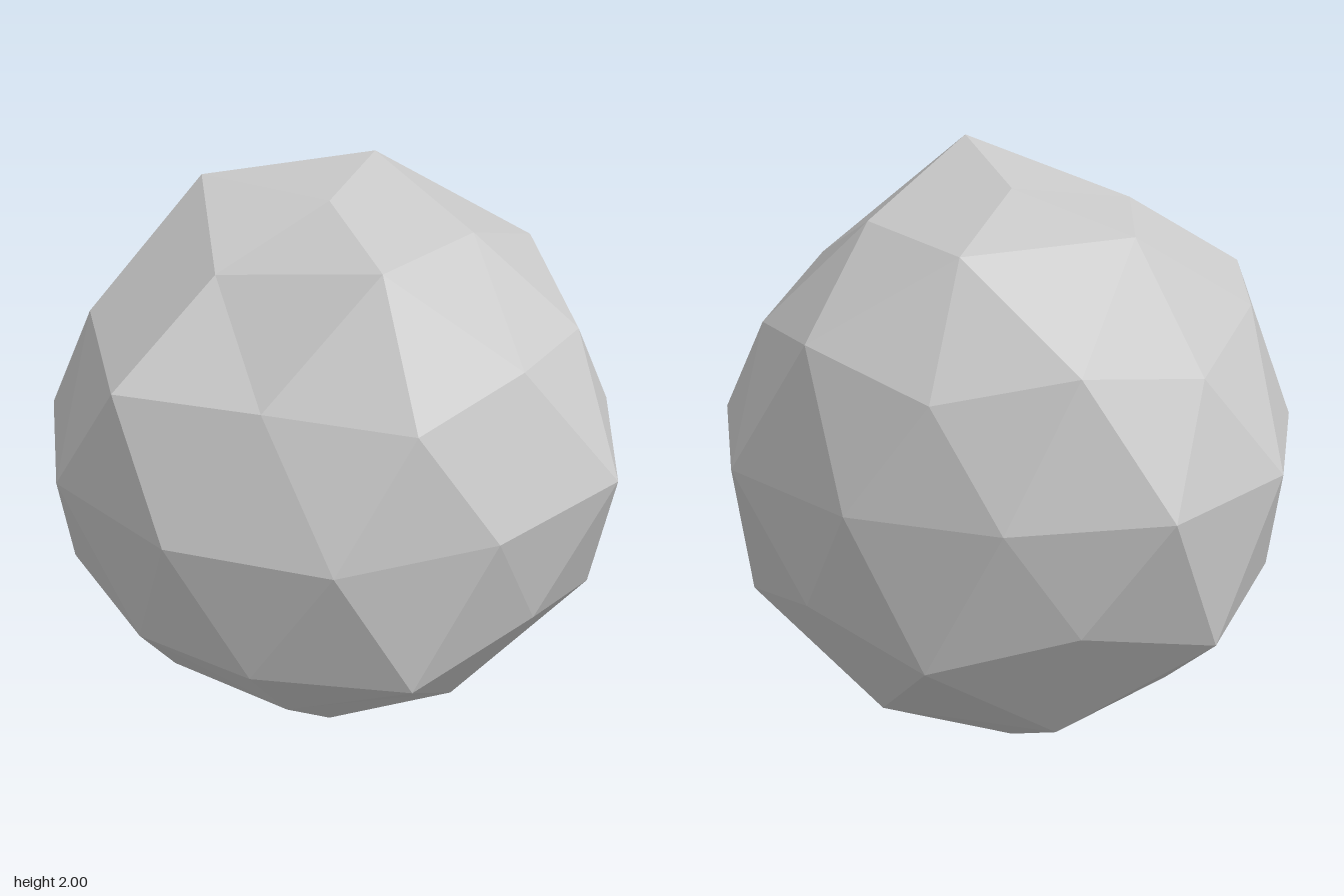
import * as THREE from 'three';
import { ConvexGeometry } from 'three/addons/geometries/ConvexGeometry.js';

// Rings of a twice-divided icosahedron, from the bottom up:
// height on the unit sphere, first angle in degrees, uneven radius of each point.
const RINGS = [
  { y: -1, start: 0, radii: [1.07] },
  { y: -0.8507, start: 36, radii: [0.965, 0.935, 1.005, 1.025, 1.015] },
  { y: -0.5257, start: 0, radii: [1.037, 1.035, 0.955, 1.04, 1.04] },
  { y: -0.4472, start: 36, radii: [0.955, 1.035, 0.973, 0.95, 0.95] },
  { y: 0, start: 18, radii: [1.036, 0.978, 1.04, 0.996, 0.989, 0.989, 1.007, 0.952, 0.946, 1.002] },
  { y: 0.4472, start: 0, radii: [0.955, 1.06, 1.045, 0.935, 0.94] },
  { y: 0.5257, start: 36, radii: [0.963, 0.935, 0.965, 1.01, 1.01] },
  { y: 0.8507, start: 0, radii: [0.94, 1.08, 0.93, 1.02, 1.008] },
  { y: 1, start: 0, radii: [0.925] },
];

function rockGeometry() {
  const points = [];
  for (const { y, start, radii } of RINGS) {
    const flat = Math.sqrt(1 - y * y);
    radii.forEach((radius, i) => {
      const a = THREE.MathUtils.degToRad(start + (360 * i) / radii.length);
      points.push({ dir: new THREE.Vector3(flat * Math.cos(a), y, flat * Math.sin(a)), radius });
    });
  }
  // Facet the even sphere first, then push each corner in or out along its direction
  const geometry = new ConvexGeometry(points.map((p) => p.dir));
  const pos = geometry.attributes.position;
  const v = new THREE.Vector3();
  for (let i = 0; i < pos.count; i++) {
    v.fromBufferAttribute(pos, i);
    const nearest = points.reduce((best, p) => (p.dir.dot(v) > best.dir.dot(v) ? p : best));
    v.copy(nearest.dir).multiplyScalar(nearest.radius);
    pos.setXYZ(i, v.x, v.y, v.z);
  }
  geometry.computeVertexNormals();
  return geometry;
}

export function createModel() {
  const group = new THREE.Group();
  group.name = 'roundRock';

  const stone = new THREE.MeshStandardMaterial({ color: 0xcccccc, flatShading: true });
  stone.name = 'stone grey';

  // Faceted boulder standing on its lowest tip
  const rock = new THREE.Mesh(rockGeometry(), stone);
  rock.name = 'rock';
  rock.position.set(-0.02, 1.07, -0.044);
  group.add(rock);
  return group;
}
